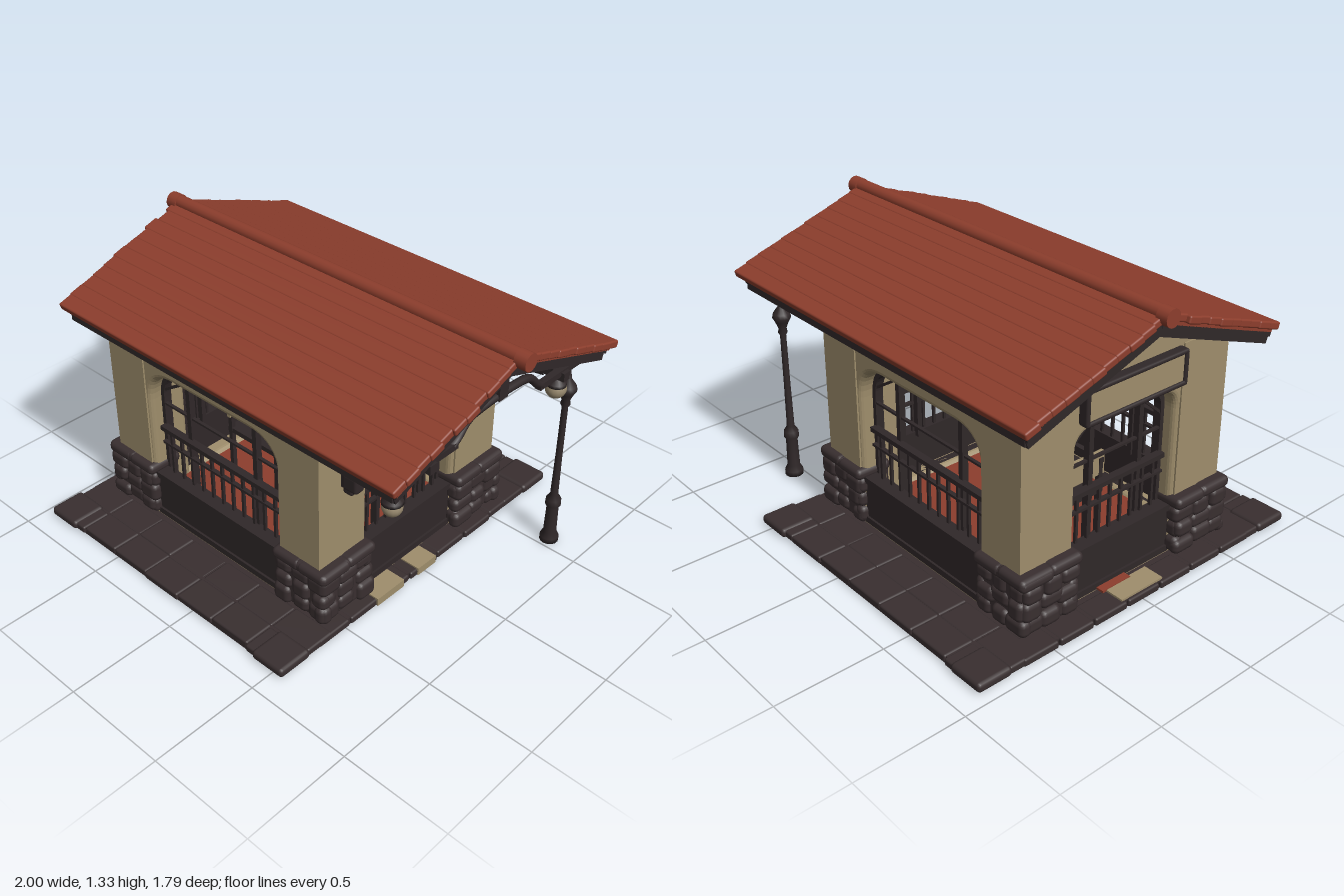
import * as THREE from 'three';
import { mergeGeometries } from 'three/addons/utils/BufferGeometryUtils.js';
import { RoundedBoxGeometry } from 'three/addons/geometries/RoundedBoxGeometry.js';

const material = (name, color) => Object.assign(new THREE.MeshStandardMaterial({ color }), { name });
const tile = material('clay tile', 0x8d3e2d);
const plaster = material('tan plaster', 0x9f8e6c);
const stone = material('dark stone', 0x392f30);
const timber = material('dark timber', 0x302829);
const glass = material('lamp globe', 0x9a8b70);

let seed = 7;
const rand = () => (seed = (seed * 16807) % 2147483647) / 2147483647;
const jitter = (a) => (rand() - 0.5) * a;

function add(parent, name, geo, mat, x = 0, y = 0, z = 0) {
  const m = new THREE.Mesh(geo, mat);
  m.name = name;
  m.position.set(x, y, z);
  parent.add(m);
  return m;
}
const box = (parent, name, mat, w, h, d, x, y, z) => add(parent, name, new THREE.BoxGeometry(w, h, d), mat, x, y, z);
const rounded = (w, h, d, x, y, z, r = 0.02) => new RoundedBoxGeometry(w, h, d, 2, r).translate(x, y, z);

// Straight bar between two points
function bar(parent, name, mat, a, b, w, d = w) {
  const p = new THREE.Vector3(...a), q = new THREE.Vector3(...b);
  const m = box(parent, name, mat, w, p.distanceTo(q), d, 0, 0, 0);
  m.position.copy(p).add(q).multiplyScalar(0.5);
  m.quaternion.setFromUnitVectors(new THREE.Vector3(0, 1, 0), q.sub(p).normalize());
  return m;
}
const tube = (parent, name, pts, r) => add(parent, name,
  new THREE.TubeGeometry(new THREE.CatmullRomCurve3(pts.map((p) => new THREE.Vector3(...p))), 24, r, 8), timber);
const lathe = (parent, name, pts, x, y, z) => add(parent, name,
  new THREE.LatheGeometry(pts.map((p) => new THREE.Vector2(...p)), 14), timber, x, y, z);

// Opening outline with rounded top corners
function archOutline(path, half, bottom, top, r) {
  path.moveTo(-half, bottom);
  path.lineTo(half, bottom);
  path.lineTo(half, top - r);
  path.quadraticCurveTo(half, top, half - r, top);
  path.lineTo(-half + r, top);
  path.quadraticCurveTo(-half, top, -half, top - r);
  path.closePath();
  return path;
}

// One wall with its opening, frame and railing; outer face at local z = 0
function wallSide(parent, name, width, apex, half, r, posts) {
  const g = new THREE.Group();
  g.name = name;
  const w = width / 2;
  const shape = new THREE.Shape();
  shape.moveTo(-w, 0.005);
  shape.lineTo(w, 0.005);
  shape.lineTo(w, 1.03);
  if (apex) shape.lineTo(0, apex);
  shape.lineTo(-w, 1.03);
  shape.closePath();
  shape.holes.push(archOutline(new THREE.Path(), half, 0.08, 0.825, r));
  // Rounded reveals around the opening
  add(g, 'wall', new THREE.ExtrudeGeometry(shape, {
    depth: 0.075, bevelThickness: 0.028, bevelSize: 0.025, bevelOffset: -0.025, bevelSegments: 4, curveSegments: 10,
  }), plaster, 0, 0, -0.11);
  for (const s of [-1, 1]) {
    const pw = w - half - 0.02;
    box(g, 'pilaster', plaster, pw, 0.75, 0.06, s * (w - pw / 2), 0.655, -0.03);
  }
  // Frame
  const ring = archOutline(new THREE.Shape(), half, 0.06, 0.825, r);
  ring.holes.push(archOutline(new THREE.Path(), half - 0.02, 0.08, 0.807, r * 0.93));
  add(g, 'frame', new THREE.ExtrudeGeometry(ring, { depth: 0.04, bevelEnabled: false, curveSegments: 10 }), timber, 0, 0, -0.11);
  // Kick panel and railing
  box(g, 'kickPanel', timber, half * 2 + 0.01, 0.22, 0.05, 0, 0.155, -0.04);
  for (const y of [0.265, 0.06]) box(g, 'panelRail', timber, half * 2 + 0.01, 0.03, 0.07, 0, y, -0.04);
  box(g, 'topRail', timber, half * 2 - 0.02, 0.022, 0.035, 0, 0.51, -0.06);
  box(g, 'midRail', timber, half * 2 - 0.02, 0.012, 0.02, 0, 0.43, -0.06);
  box(g, 'glazingBar', timber, half * 2 - 0.02, 0.01, 0.015, 0, 0.63, -0.08);
  const n = Math.round(half * 2 / 0.065);
  for (let i = 1; i < n; i++)
    box(g, 'baluster', timber, 0.013, 0.24, 0.013, -half + (i * half * 2) / n, 0.39, -0.06);
  for (const s of [-1, 1]) {
    box(g, 'mullion', timber, 0.024, 0.56, 0.03, s * posts, 0.54, -0.08);
    bar(g, 'cornerBrace', timber, [s * (half - 0.015), 0.7, -0.08], [s * posts, 0.81, -0.08], 0.012);
  }
  parent.add(g);
  return g;
}

// L-shaped rubble corner base, stones on the outer and jamb faces, cap course on top
function stoneBase(parent, x, z, sx, sz) {
  const W = 0.29, D = 0.31, T = 0.16;
  const parts = [
    rounded(W - 0.03, 0.24, T, x, 0.16, z + sz * (D / 2 - 0.015 - T / 2)),
    rounded(T, 0.24, D - 0.03, x + sx * (W / 2 - 0.015 - T / 2), 0.16, z),
  ];
  const stoneAt = (w, h, d, px, py, pz) => parts.push(rounded(w, h, d, px, py, pz, 0.027));
  for (let row = 0; row < 3; row++) {
    for (let i = 0; i < 3; i++) {
      const y = 0.085 + row * 0.075 + jitter(0.022), t = (i - 1) / 3 + jitter(0.07);
      const a = 0.08 + rand() * 0.04, h = 0.068 + rand() * 0.028;
      stoneAt(a, h, 0.06, x + t * W, y, z + sz * (D / 2 - 0.025 + jitter(0.014)));
      stoneAt(0.06, h, a + 0.01, x + sx * (W / 2 - 0.025 + jitter(0.014)), y, z + t * D);
    }
    for (const k of [0.04, 0.11]) {
      const y = 0.085 + row * 0.075;
      stoneAt(0.06, 0.08, 0.075, x - sx * (W / 2 - 0.025 + jitter(0.01)), y, z + sz * (D / 2 - k));
      stoneAt(0.075, 0.08, 0.06, x + sx * (W / 2 - k), y, z - sz * (D / 2 - 0.025 + jitter(0.01)));
    }
  }
  for (const k of [-1, 1]) {
    parts.push(rounded(W / 2 + 0.015, 0.055, T + 0.02, x + k * W / 4, 0.293 + jitter(0.01), z + sz * (D / 2 - T / 2), 0.024));
    parts.push(rounded(T + 0.02, 0.055, D / 2 + 0.015, x + sx * (W / 2 - T / 2), 0.293 + jitter(0.01), z + k * D / 4, 0.024));
  }
  add(parent, 'stoneBase', mergeGeometries(parts), stone);
}

// Hanging lamp: hood, globe and stem
function hangingLamp(parent, x, y, z, r) {
  const g = new THREE.Group();
  g.name = 'hangingLamp';
  add(g, 'globe', new THREE.SphereGeometry(r, 16, 12), glass);
  lathe(g, 'hood', [[0, 0.012], [0.044, 0.012], [0.042, 0.026], [0.02, 0.05], [0.014, 0.07], [0.005, 0.075], [0.005, 0.14]], 0, 0.005, 0);
  g.position.set(x, y, z);
  parent.add(g);
}

export function createModel() {
  const model = new THREE.Group();
  model.name = 'shelter';
  const cx = -0.175;

  // Paved platform with flagstones
  box(model, 'platform', stone, 1.47, 0.036, 1.74, -0.195, 0.022, 0);
  const flags = [];
  for (const s of [-1, 1]) {
    for (let i = 0; i < 7; i++) for (let j = 0; j < 2; j++)
      flags.push(rounded(0.212, 0.036, 0.145, -0.835 + i * 0.213, 0.026 + jitter(0.006), s * (0.805 - j * 0.145 + jitter(0.012)), 0.01));
    for (const x of [-0.865, 0.472]) flags.push(rounded(0.175, 0.045, 0.17, x, 0.032, s * 0.81, 0.018));
  }
  for (const x of [-0.885, 0.49]) for (let i = 0; i < 7; i++)
    flags.push(rounded(0.12, 0.036, 0.18, x + jitter(0.012), 0.025, -0.57 + i * 0.19, 0.01));
  add(model, 'flagstones', mergeGeometries(flags), stone);
  box(model, 'floor', tile, 1.06, 0.02, 0.92, cx, 0.055, 0);
  // Worn paving in front of the end doors
  box(model, 'rightPaving', plaster, 0.1, 0.038, 0.17, 0.51, 0.031, 0.23);
  box(model, 'rightPaving', plaster, 0.1, 0.038, 0.12, 0.51, 0.031, -0.01);
  box(model, 'leftPaving', plaster, 0.1, 0.01, 0.24, -0.88, 0.047, 0);
  box(model, 'leftPavingTile', tile, 0.04, 0.01, 0.16, -0.822, 0.05, -0.06);

  // Four walls
  wallSide(model, 'frontWall', 1.27, 0, 0.39, 0.16, 0.205).position.set(cx, 0, 0.57);
  const back = wallSide(model, 'backWall', 1.27, 0, 0.39, 0.16, 0.205);
  back.position.set(cx, 0, -0.57);
  back.rotation.y = Math.PI;
  for (const s of [-1, 1]) {
    const side = wallSide(model, s > 0 ? 'rightWall' : 'leftWall', 1.13, 1.24, 0.28, 0.09, 0.14);
    side.position.set(cx + s * 0.635, 0, 0);
    side.rotation.y = s * Math.PI / 2;
    // Blank framed sign board on each gable
    const x = cx + s * 0.655;
    box(model, 'signBoard', plaster, 0.03, 0.14, 0.53, x, 0.95, 0);
    for (const y of [0.88, 1.02]) add(model, 'signRail', rounded(0.05, 0.022, 0.56, x, y, 0, 0.01), timber);
    for (const z of [-0.27, 0.27]) add(model, 'signStile', rounded(0.05, 0.15, 0.022, x, 0.95, z, 0.01), timber);
  }
  for (const sx of [-1, 1]) for (const sz of [-1, 1]) stoneBase(model, cx + sx * 0.535, sz * 0.437, sx, sz);

  // Bench inside
  box(model, 'benchSeat', timber, 0.33, 0.025, 0.26, -0.39, 0.3, 0);
  box(model, 'benchBack', plaster, 0.02, 0.11, 0.24, -0.54, 0.43, 0.02);
  for (const z of [-0.12, 0.12]) {
    box(model, 'benchArm', timber, 0.33, 0.022, 0.025, -0.39, 0.445, z);
    for (const x of [-0.54, -0.24]) box(model, 'benchLeg', timber, 0.022, 0.4, 0.022, x, 0.25, z);
  }

  // Roof: shallow overlapping tile courses on both slopes
  const roof = new THREE.Group();
  roof.name = 'roof';
  model.add(roof);
  const slope = 0.355, pitch = Math.atan(slope), courses = 11, run = 0.69 / courses;
  for (const s of [-1, 1]) {
    for (let i = 0; i < courses; i++) {
      const z = (i + 0.5) * run;
      const g = new RoundedBoxGeometry(1.92 + jitter(0.025), 0.034, run * 1.2, 2, 0.008);
      const c = add(roof, 'tileCourse', g, tile, -0.005 + jitter(0.01), 1.284 - z * slope, s * z);
      c.rotation.x = s * (pitch - 0.035);
    }
    const deck = box(roof, 'roofDeck', tile, 1.88, 0.02, 0.71, -0.005, 1.26 - 0.335 * slope, s * 0.335);
    deck.rotation.x = s * pitch;
    // Barge boards, rafters, eave fascia and purlin
    for (const x of [-0.92, 0.9]) {
      const board = box(roof, 'bargeBoard', timber, 0.032, 0.06, 0.7, x, 1.227 - 0.33 * slope, s * 0.33);
      board.rotation.x = s * pitch;
      const trim = box(roof, 'bargeTrim', timber, 0.05, 0.025, 0.7, x, 1.242 - 0.33 * slope, s * 0.335);
      trim.rotation.x = s * pitch;
    }
    for (const x of [-0.55, -0.175, 0.2, 0.6, 0.75]) bar(roof, 'rafter', timber, [x, 1.235, 0], [x, 1.005, s * 0.65], 0.03);
    box(roof, 'eaveFascia', timber, 1.84, 0.045, 0.035, -0.01, 0.995, s * 0.645);
    box(roof, 'purlin', timber, 1.8, 0.04, 0.04, -0.01, 1.095, s * 0.36);
  }
  const ridge = add(roof, 'ridgeRoll', new THREE.CylinderGeometry(0.032, 0.032, 1.93, 14), tile, 0, 1.296, 0);
  ridge.rotation.z = Math.PI / 2;
  for (const x of [-0.97, 0.97]) {
    const cap = add(roof, 'ridgeEnd', new THREE.CylinderGeometry(0.039, 0.039, 0.055, 14), tile, x, 1.291, 0);
    cap.rotation.z = Math.PI / 2;
  }
  box(roof, 'ridgeBeam', timber, 1.82, 0.05, 0.04, -0.01, 1.22, 0);

  // Canopy truss on the long overhang
  const tx = 0.87;
  tube(model, 'trussArch', [[tx, 1.0, -0.28], [tx, 1.02, -0.25], [tx, 1.075, -0.19], [tx, 1.09, -0.1], [tx, 1.09, 0.1], [tx, 1.075, 0.19], [tx, 1.02, 0.25], [tx, 1.0, 0.28]], 0.018);
  box(model, 'kingPost', timber, 0.04, 0.14, 0.055, tx, 1.15, 0);
  for (const s of [-1, 1]) {
    box(model, 'tieBeam', timber, 0.03, 0.028, 0.38, tx, 1.0, s * 0.45);
    // Curved wall bracket
    const z = s * 0.42;
    box(model, 'bracketBeam', timber, 0.44, 0.04, 0.04, 0.68, 0.985, z);
    box(model, 'bracketPost', timber, 0.035, 0.3, 0.045, 0.475, 0.83, z);
    add(model, 'bracketFoot', rounded(0.08, 0.08, 0.055, 0.505, 0.715, z, 0.015), timber);
    add(model, 'bracketTip', rounded(0.05, 0.05, 0.04, 0.49, 0.675, z, 0.012), timber);
    tube(model, 'bracketBrace', [[0.51, 0.73, z], [0.55, 0.81, z], [0.61, 0.89, z], [0.69, 0.95, z], [0.8, 0.975, z]], 0.026);
    tube(model, 'sideBrace', [[0.49, 0.8, z], [0.49, 0.89, s * 0.435], [0.49, 0.94, s * 0.47], [0.49, 0.97, s * 0.54]], 0.016);
  }
  hangingLamp(model, 0.83, 0.86, 0.565, 0.042);
  hangingLamp(model, 0.83, 0.88, -0.46, 0.046);

  // Free-standing lamp post
  lathe(model, 'lampPost', [[0, 0.01], [0.043, 0.01], [0.043, 0.035], [0.03, 0.06], [0.027, 0.2], [0.036, 0.215], [0.034, 0.245], [0.018, 0.27], [0.015, 0.5], [0.014, 0.74], [0.022, 0.755], [0.018, 0.775], [0.032, 0.81], [0.043, 0.83], [0.038, 0.85], [0.016, 0.88], [0.008, 0.92], [0, 0.96]], 0.83, 0, -0.55);
  return model;
}
